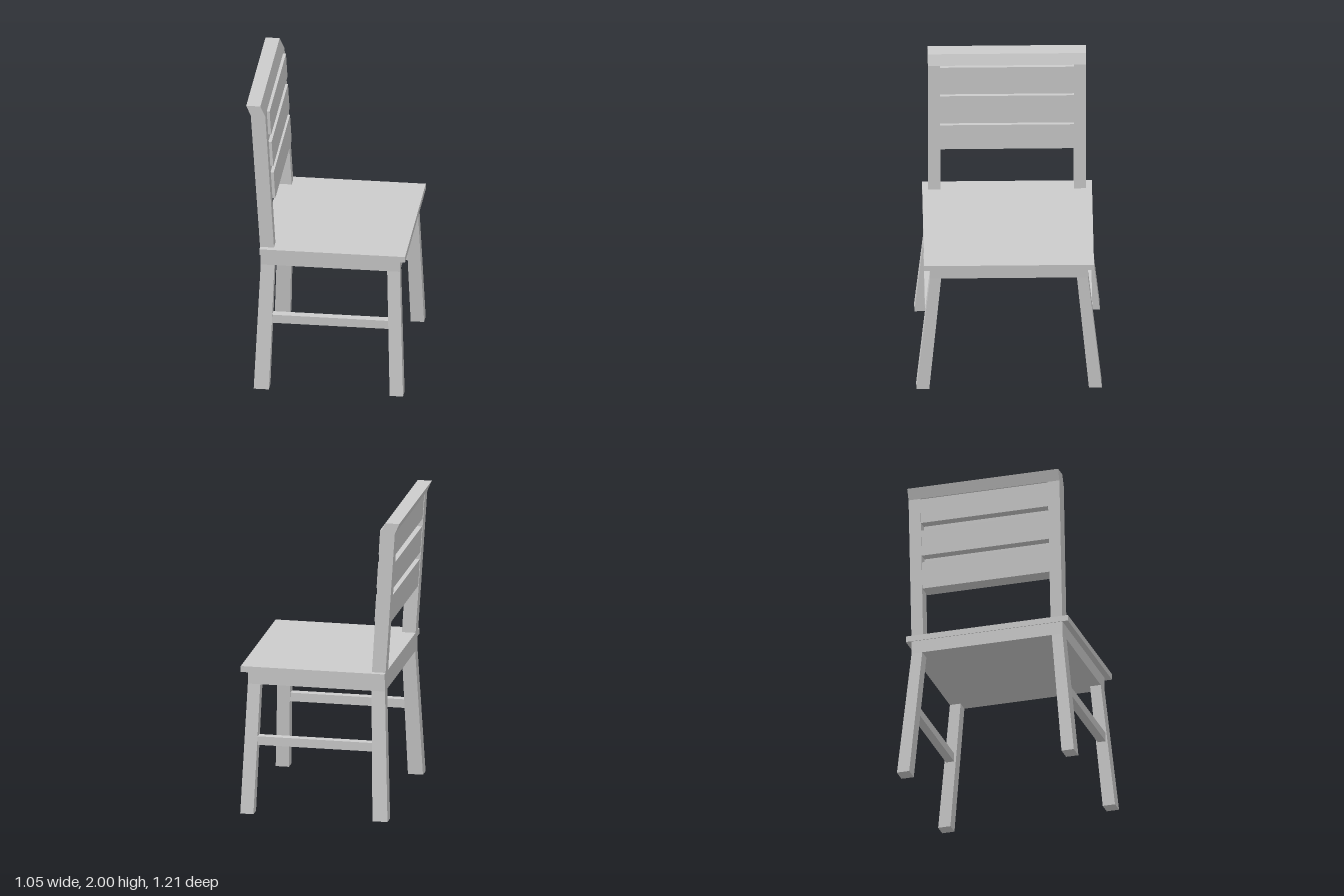
import * as THREE from 'three';

const material = new THREE.MeshStandardMaterial({ color: 0xcccccc, flatShading: true });

// Box between a bottom and a top rectangle, each [x0, x1, z0, z1]
function taperedBox(name, y0, y1, bottom, top) {
  const geometry = new THREE.BoxGeometry(1, 1, 1);
  const p = geometry.attributes.position;
  for (let i = 0; i < p.count; i++) {
    const r = p.getY(i) > 0 ? top : bottom;
    p.setXYZ(i, p.getX(i) > 0 ? r[1] : r[0], p.getY(i) > 0 ? y1 : y0, p.getZ(i) > 0 ? r[3] : r[2]);
  }
  geometry.computeVertexNormals();
  const mesh = new THREE.Mesh(geometry, material);
  mesh.name = name;
  return mesh;
}

function box(name, x0, x1, y0, y1, z0, z1) {
  const r = [x0, x1, z0, z1];
  return taperedBox(name, y0, y1, r, r);
}

// Front and rear edges of the leaning back posts at height y
const SEAT_TOP = 0.985, POST_TOP = 1.93;
const lean = (y) => (y - SEAT_TOP) / (POST_TOP - SEAT_TOP);
const postFront = (y) => -0.343 - 0.057 * lean(y);
const postRear = (y) => -0.434 - 0.061 * lean(y);

// Piece that follows the lean of the back, from rear(y) to front(y)
function leaningBox(name, y0, y1, rear, front, z0, z1) {
  return taperedBox(name, y0, y1, [rear(y0), front(y0), z0, z1], [rear(y1), front(y1), z0, z1]);
}

export function createModel() {
  const chair = new THREE.Group();
  chair.name = 'chair';

  // Seat and the block beneath it
  chair.add(box('seat', -0.434, 0.522, 0.945, SEAT_TOP, -0.553, 0.553));
  chair.add(box('apron', -0.43, 0.483, 0.858, 0.945, -0.515, 0.515));

  for (const s of [-1, 1]) {
    const span = (a, b) => (s > 0 ? [a, b] : [-b, -a]);
    const foot = span(0.52, 0.604), hip = span(0.442, 0.515);

    // Splayed legs
    chair.add(taperedBox('rearLeg', 0, 0.858, [-0.465, -0.365, ...foot], [-0.43, -0.34, ...hip]));
    chair.add(taperedBox('frontLeg', 0, 0.858, [0.427, 0.515, ...foot], [0.4, 0.483, ...hip]));

    // Side stretcher
    chair.add(box('sideStretcher', -0.37, 0.425, 0.455, 0.513, ...span(0.49, 0.545)));

    // Back post
    chair.add(leaningBox('backPost', SEAT_TOP, POST_TOP, postRear, postFront, ...span(0.435, 0.515)));
  }

  // Top rail, flared backward
  chair.add(taperedBox('topRail', POST_TOP, 2,
    [postRear(POST_TOP), postFront(POST_TOP), -0.515, 0.515],
    [-0.525, -0.432, -0.515, 0.515]));

  // Slats standing proud of the posts
  for (const [y0, y1] of [[1.305, 1.488], [1.535, 1.71], [1.763, 1.928]]) {
    chair.add(leaningBox('backSlat', y0, y1, (y) => postRear(y) + 0.004, (y) => postFront(y) + 0.019, -0.436, 0.436));
  }

  // Thin panel closing the gaps between the slats
  for (const [y0, y1] of [[1.488, 1.535], [1.71, 1.763]]) {
    chair.add(leaningBox('backPanel', y0, y1, (y) => postFront(y) - 0.028, (y) => postFront(y) - 0.003, -0.436, 0.436));
  }

  return chair;
}
